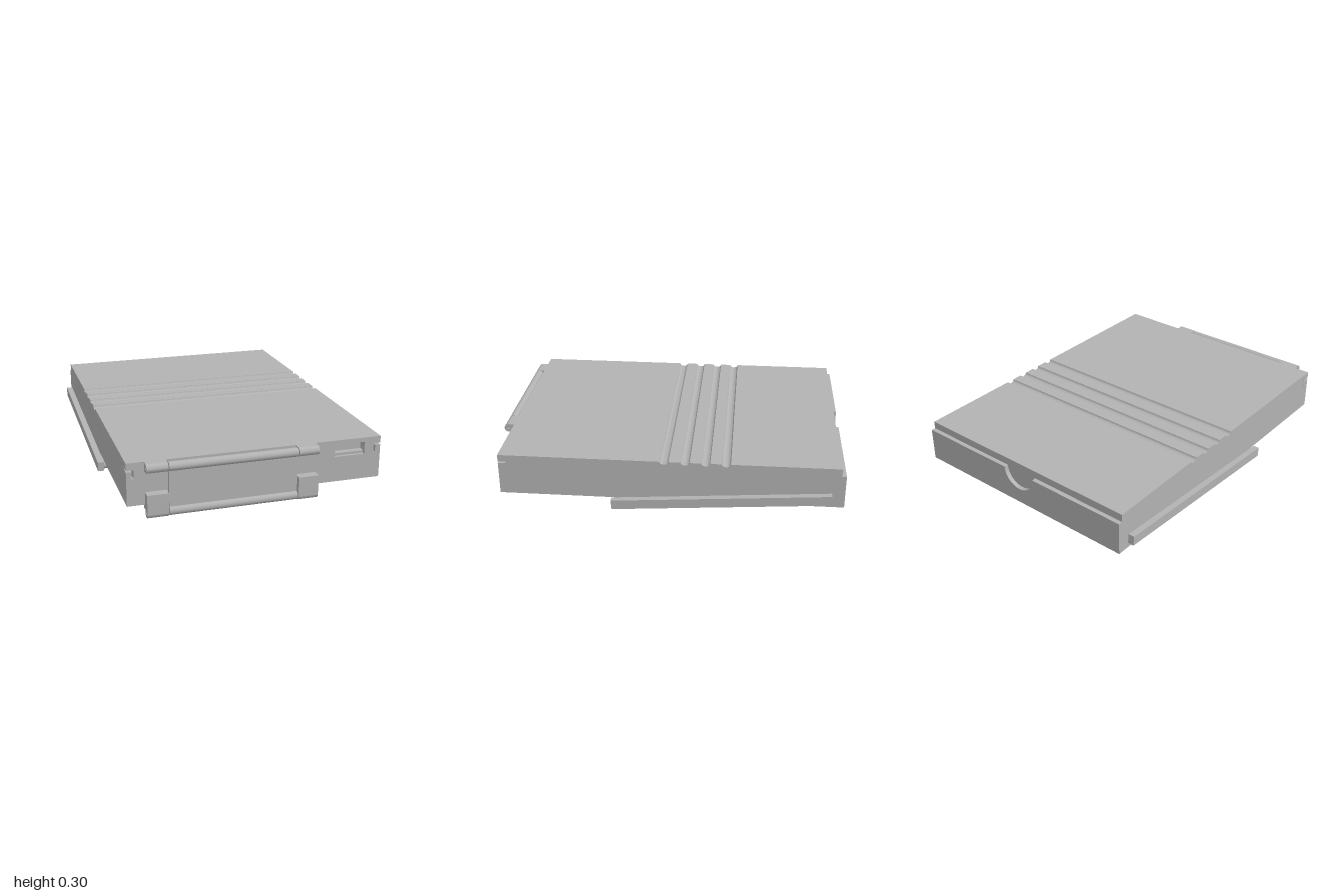
import * as THREE from 'three';
import { toCreasedNormals } from 'three/addons/utils/BufferGeometryUtils.js';

export function createModel() {
  const model = new THREE.Group();
  model.name = 'driveUnit';
  const grey = new THREE.MeshStandardMaterial({ color: 0xb2b2b2 });
  grey.name = 'casingGrey';

  const add = (name, geometry) => {
    const mesh = new THREE.Mesh(geometry, grey);
    mesh.name = name;
    model.add(mesh);
    return mesh;
  };
  const box = (name, x0, x1, y0, y1, z0, z1) => {
    const g = new THREE.BoxGeometry(x1 - x0, y1 - y0, z1 - z0);
    g.translate((x0 + x1) / 2, (y0 + y1) / 2, (z0 + z1) / 2);
    return add(name, g);
  };
  const outline = (points) => new THREE.Shape(points.map(([a, b]) => new THREE.Vector2(a, b)));
  const extrude = (shape, depth) => toCreasedNormals(
    new THREE.ExtrudeGeometry(shape, { depth, bevelEnabled: false, curveSegments: 20 }), 0.5);
  // Side profile, drawn in (-z, y), swept along x
  const sweepX = (name, shape, x0, x1) =>
    add(name, extrude(shape, x1 - x0).rotateY(Math.PI / 2).translate(x0, 0, 0));
  // Front profile, drawn in (x, y), swept along z
  const sweepZ = (name, shape, z0, z1) => add(name, extrude(shape, z1 - z0).translate(0, 0, z0));
  const rod = (name, r, x0, x1, y, z) => {
    const g = new THREE.CylinderGeometry(r, r, x1 - x0, 28).rotateZ(Math.PI / 2);
    return add(name, g.translate((x0 + x1) / 2, y, z));
  };

  const W = 0.715, bottom = 0.06, top = 0.3, joint = 0.89, front = 0.94;

  // Main casing with four rounded grooves across the lid
  const casing = new THREE.Shape();
  casing.moveTo(-joint, bottom);
  casing.lineTo(0.975, bottom);
  casing.lineTo(0.975, top);
  for (const c of [0.343, 0.229, 0.115, -0.002]) {
    casing.lineTo(c + 0.025, top);
    casing.absellipse(c, top, 0.025, 0.017, 0, Math.PI, true, 0);
  }
  casing.lineTo(-joint, top);
  sweepX('casing', casing, -W, W);

  // Front wall with a window recess and hooked corner slots
  const slot = [[W, 0.25], [0.685, 0.25], [0.685, 0.21], [0.675, 0.21], [0.675, 0.26], [W, 0.26]];
  const wall = outline([
    [-W, bottom], [W, bottom], ...slot, [W, top], [-W, top],
    ...slot.slice().reverse().map(([x, y]) => [-x, y]),
  ]);
  wall.holes.push(new THREE.Path([
    [0.445, 0.205], [0.445, 0.275], [0.62, 0.275], [0.62, 0.205],
  ].map(([x, y]) => new THREE.Vector2(x, y))));
  sweepZ('frontWall', wall, joint, front);
  box('windowLedge', 0.445, 0.62, 0.205, 0.22, joint, 0.925);

  // Back lip, lower than the lid, with a half-round finger notch
  const lip = outline([[-W, bottom], [W, bottom], [W, 0.255], [0.105, 0.255]]);
  lip.absarc(0, 0.255, 0.105, 0, Math.PI, true);
  lip.lineTo(-W, 0.255);
  sweepZ('backLip', lip, -1, -0.975);

  // Tilting stand: two arms with pivots, joined by a rod underneath
  const arm = outline([[-0.297, 0.005], [0.932, 0.093], [0.927, 0.148], [-0.302, 0.06]]);
  for (const s of [-1, 1]) {
    const [x0, x1] = s > 0 ? [0.719, 0.755] : [-0.755, -0.719];
    sweepX('standArm', arm, x0, x1);
    const [p0, p1] = s > 0 ? [0.71, 0.725] : [-0.725, -0.71];
    rod('standPivot', 0.02, p0, p1, 0.118, -0.9);
    box('cornerSeam', s * W - 0.001, s * W + 0.001, 0.21, 0.26, joint, joint + 0.006);
  }
  rod('standCrossbar', 0.024, -0.725, 0.725, 0.034, 0.27);

  // Hinged front door: knuckles at the top, clamp blocks at the bottom
  const pinHole = (y) => new THREE.Path().absarc(-0.975, y, 0.008, 0, Math.PI * 2, true);
  const knuckle = outline([[-front, 0.25], [-front, 0.3], [-0.975, 0.3]]);
  knuckle.absarc(-0.975, 0.275, 0.025, Math.PI / 2, Math.PI * 1.5, false);
  knuckle.holes.push(pinHole(0.275));
  const clamp = outline([[-0.95, 0.025], [-0.95, 0.135], [-1, 0.135], [-1, 0.025]]);
  clamp.absarc(-0.975, 0.025, 0.025, Math.PI, Math.PI * 2, false);
  clamp.holes.push(pinHole(0.025));
  for (const [x0, x1] of [[-0.62, -0.505], [0.213, 0.328]]) {
    sweepX('hingeKnuckle', knuckle, x0, x1);
    sweepX('clampBlock', clamp, x0, x1);
    box('clampTab', x0, x1, 0.035, 0.062, 0.915, 0.952);
  }
  rod('doorTopTube', 0.025, -0.5, 0.208, 0.275, 0.975);
  rod('doorBottomTube', 0.025, -0.5, 0.208, 0.028, 0.975);
  box('doorPanel', -0.5, 0.208, 0.03, 0.275, 0.965, 0.983);
  for (const y of [0.275, 0.027]) rod('hingePin', 0.006, -0.615, 0.323, y, 0.975);

  return model;
}
